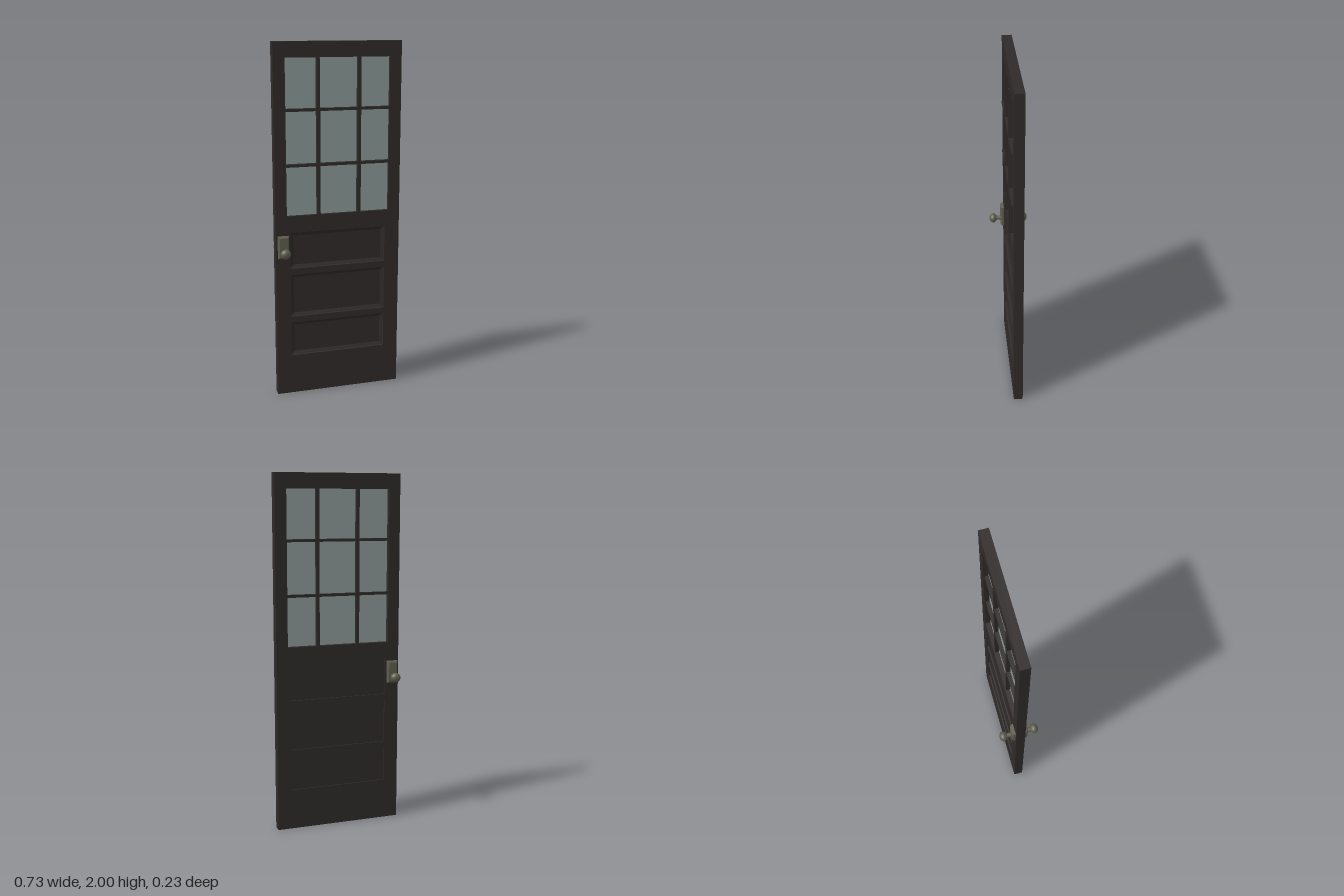
import * as THREE from 'three';

const FRONT = 0.025, BACK = -0.028;
const paint = new THREE.MeshStandardMaterial({ color: 0x2e2a29 });
const glassMat = new THREE.MeshStandardMaterial({ color: 0x8a9896 });
const brass = new THREE.MeshStandardMaterial({ color: 0x5e5e4e });

// openings as [x0, x1, y0, y1]
const WINDOW = [-0.298, 0.297, 1.053, 1.915];
const PANELS = [[-0.28, 0.276, 0.23, 0.43], [-0.28, 0.276, 0.465, 0.715], [-0.28, 0.276, 0.75, 0.958]];

function add(parent, name, geometry, material, x = 0, y = 0, z = 0) {
  const mesh = new THREE.Mesh(geometry, material);
  mesh.name = name;
  mesh.position.set(x, y, z);
  parent.add(mesh);
  return mesh;
}

function tracePath(path, [x0, x1, y0, y1]) {
  path.moveTo(x0, y0);
  path.lineTo(x1, y0);
  path.lineTo(x1, y1);
  path.lineTo(x0, y1);
  path.closePath();
  return path;
}

// rectangular rings [halfWidth, halfHeight, z], joined by flat faces and capped on the last ring
function rectLoft(rings) {
  const pos = [], index = [];
  for (const [w, h, z] of rings) pos.push(-w, -h, z, w, -h, z, w, h, z, -w, h, z);
  for (let r = 0; r < rings.length - 1; r++) {
    for (let k = 0; k < 4; k++) {
      const a = r * 4 + k, b = r * 4 + (k + 1) % 4;
      index.push(a, b, b + 4, a, b + 4, a + 4);
    }
  }
  const n = (rings.length - 1) * 4;
  index.push(n, n + 1, n + 2, n, n + 2, n + 3);
  const indexed = new THREE.BufferGeometry();
  indexed.setAttribute('position', new THREE.Float32BufferAttribute(pos, 3));
  indexed.setIndex(index);
  const g = indexed.toNonIndexed();
  g.computeVertexNormals();
  return g;
}

// plate, shank and knob, pointing along +z from the door face
function handle() {
  const group = new THREE.Group();
  add(group, 'plate', rectLoft([
    [0.031, 0.064, 0], [0.031, 0.064, 0.012], [0.022, 0.055, 0.02],
  ]), brass, 0, 0.025, 0);
  add(group, 'shank', new THREE.CylinderGeometry(0.013, 0.013, 0.04, 20).rotateX(Math.PI / 2), brass, 0, 0, 0.035);
  const knob = add(group, 'knob', new THREE.SphereGeometry(1, 24, 16).rotateX(Math.PI / 2), brass, 0, 0, 0.064);
  knob.scale.set(0.029, 0.028, 0.023);
  return group;
}

export function createModel() {
  const door = new THREE.Group();
  door.name = 'door';

  // slab with window and panel openings
  const outline = tracePath(new THREE.Shape(), [-0.363, 0.363, 0, 2]);
  for (const o of [WINDOW, ...PANELS]) outline.holes.push(tracePath(new THREE.Path(), o));
  add(door, 'doorFrame', new THREE.ExtrudeGeometry(outline, { depth: FRONT - BACK, bevelEnabled: false }), paint, 0, 0, BACK);

  // bevelled recess in front, shallow plain recess behind
  PANELS.forEach(([x0, x1, y0, y1]) => {
    const w = (x1 - x0) / 2, h = (y1 - y0) / 2, cx = (x0 + x1) / 2, cy = (y0 + y1) / 2;
    add(door, 'panelFront', rectLoft([
      [w, h, FRONT], [w - 0.003, h - 0.003, 0.018], [w - 0.02, h - 0.02, 0.009],
    ]), paint, cx, cy);
    add(door, 'panelBack', rectLoft([
      [w, h, -BACK], [w, h, -BACK - 0.008],
    ]), paint, cx, cy).rotation.y = Math.PI;
  });

  // glazing and bars
  const [x0, x1, y0, y1] = WINDOW;
  const w = x1 - x0, h = y1 - y0, cx = (x0 + x1) / 2, cy = (y0 + y1) / 2;
  add(door, 'glass', new THREE.BoxGeometry(w, h, 0.006), glassMat, cx, cy, 0.003);
  const barBack = -0.022, barDepth = 0.033 - barBack, barZ = barBack + barDepth / 2;
  for (const x of [-0.115, 0.119]) {
    add(door, 'verticalBar', new THREE.BoxGeometry(0.018, h, barDepth), paint, x, cy, barZ);
  }
  for (const y of [1.335, 1.637]) {
    add(door, 'horizontalBar', new THREE.BoxGeometry(w, 0.015, barDepth), paint, cx, y, barZ);
  }

  // a handle on each face
  for (const front of [true, false]) {
    const g = handle();
    g.name = front ? 'frontHandle' : 'backHandle';
    g.position.set(-0.322, 0.855, front ? FRONT : BACK);
    if (!front) g.rotation.y = Math.PI;
    door.add(g);
  }
  return door;
}
